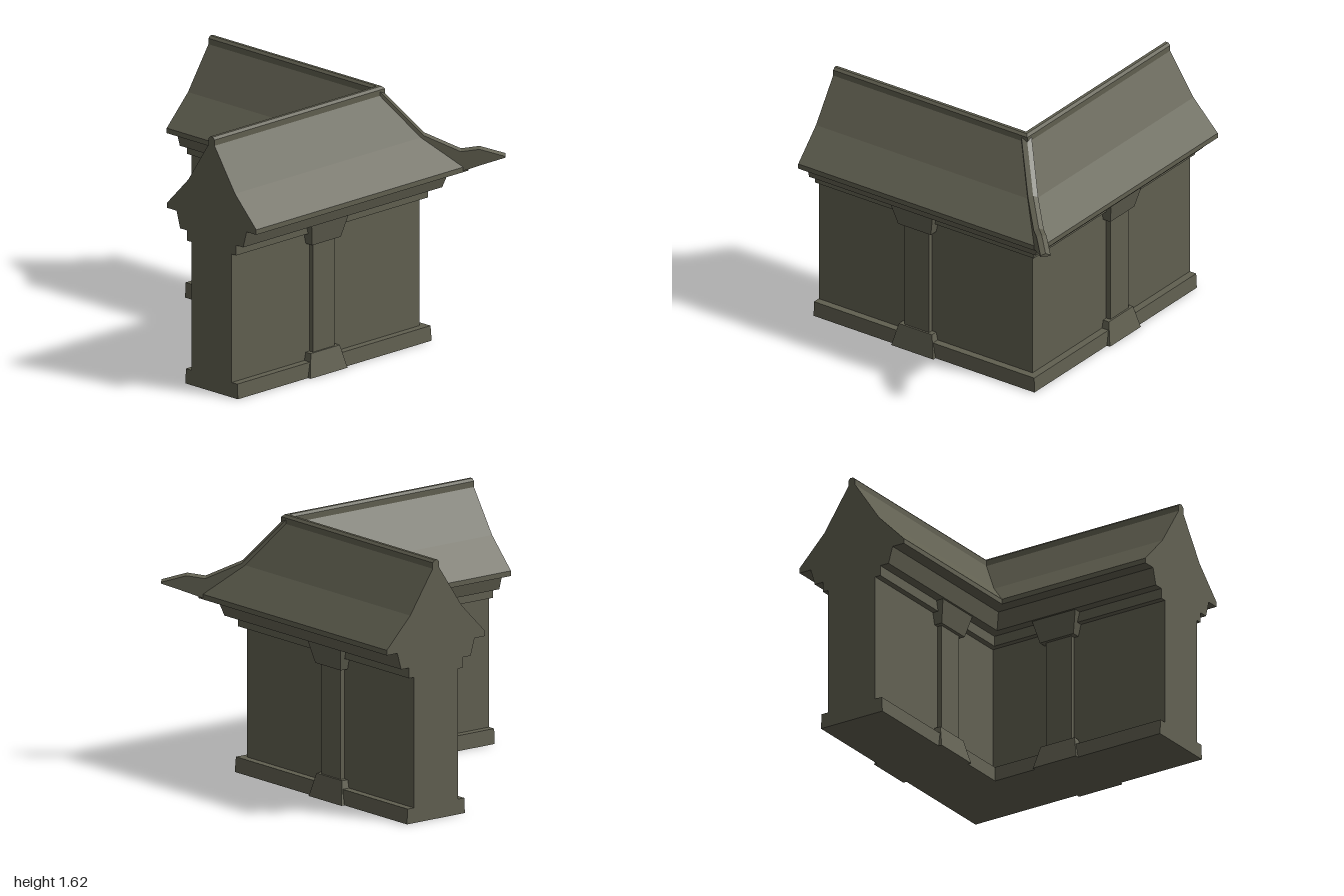
import * as THREE from 'three';

// Centre lines of the two wings, which meet in a mitred corner
const CX = 0.433, CZ = 0.4375;

const stone = new THREE.MeshStandardMaterial({ color: 0x605f50 });
stone.name = 'olive stone';

// Skin a series of matching rings and close both ends.
// outline is the flat 2D shape of a ring, used to triangulate the ends.
function loft(name, rings, outline) {
  const pos = [];
  const tri = (...pts) => pts.forEach((p) => pos.push(p[0], p[1], p[2]));
  const n = outline.length;
  for (let k = 0; k < rings.length - 1; k++) {
    const a = rings[k], b = rings[k + 1];
    for (let i = 0; i < n; i++) {
      const j = (i + 1) % n;
      tri(a[i], b[i], b[j]);
      tri(a[i], b[j], a[j]);
    }
  }
  const first = rings[0], last = rings[rings.length - 1];
  const flat = outline.map(([u, v]) => new THREE.Vector2(u, v));
  for (const [i, j, k] of THREE.ShapeUtils.triangulateShape(flat, [])) {
    tri(first[i], first[j], first[k]);
    tri(last[k], last[j], last[i]);
  }
  const geo = new THREE.BufferGeometry();
  geo.setAttribute('position', new THREE.Float32BufferAttribute(pos, 3));
  geo.computeVertexNormals();
  const mesh = new THREE.Mesh(geo, stone);
  mesh.name = name;
  return mesh;
}

// Sweep a symmetric profile round the corner; half lists [offset, y] upwards
function sweep(name, half) {
  const mirrored = half.map(([d, y]) => [-d, y]).reverse();
  const outline = [...half, ...mirrored];
  return loft(name, [
    outline.map(([d, y]) => [-1, y, CZ + d]),
    outline.map(([d, y]) => [CX + d, y, CZ + d]),
    outline.map(([d, y]) => [CX + d, y, -1]),
  ], outline);
}

// Tapered block: half sizes [x, z] at the bottom and at the top
function taper(name, x, z, y0, [ax, az], y1, [bx, bz]) {
  const corners = [[-1, -1], [1, -1], [1, 1], [-1, 1]];
  return loft(name, [
    corners.map(([u, v]) => [x + u * ax, y0, z + v * az]),
    corners.map(([u, v]) => [x + u * bx, y1, z + v * bz]),
  ], corners);
}

// Pilaster passing through the wall, with a flared foot and capital
function pilaster(name, x, z, turned) {
  const s = (w, d) => (turned ? [d, w] : [w, d]);
  const g = new THREE.Group();
  g.name = name;
  g.add(
    taper('pilasterFoot', x, z, 0, s(0.158, 0.248), 0.145, s(0.124, 0.215)),
    taper('pilasterShaft', x, z, 0.145, s(0.0925, 0.203), 0.835, s(0.0925, 0.203)),
    taper('pilasterCapital', x, z, 0.835, s(0.123, 0.225), 0.975, s(0.158, 0.257)),
  );
  return g;
}

// Raised rib down the outer hip, ending in an upturned tip
function hipRib() {
  const w = 0.022; // half width measured along x and z
  const stations = [ // offset, top, bottom
    [0, 1.607, 1.53], [0.19, 1.325, 1.23], [0.35, 1.222, 1.083],
    [0.43, 1.237, 1.122], [0.54, 1.192, 1.172],
  ];
  const rings = stations.map(([d, top, low]) =>
    [[1, low], [1, top - 0.012], [0, top], [-1, top - 0.012], [-1, low]]
      .map(([r, y]) => [CX + d - r * w, y, CZ + d + r * w]));
  return loft('hipRib', rings, [[1, 0], [1, 1], [0, 2], [-1, 1], [-1, 0]]);
}

export function createModel() {
  const model = new THREE.Group();
  model.name = 'cornerWall';
  model.add(
    sweep('plinth', [[0.225, 0], [0.22, 0.095]]),
    sweep('wall', [[0.172, 0.095], [0.172, 0.91]]),
    sweep('frieze', [[0.21, 0.91], [0.21, 0.975]]),
    sweep('cornice', [[0.27, 0.975], [0.3, 1.08]]),
    sweep('roof', [[0.382, 1.08], [0.382, 1.112], [0.2, 1.3], [0.025, 1.565]]),
    sweep('ridge', [[0.025, 1.565], [0.025, 1.602], [0.01, 1.617]]),
    hipRib(),
    pilaster('frontPilaster', -0.2425, CZ, false),
    pilaster('sidePilaster', CX, -0.2375, true),
  );
  return model;
}
